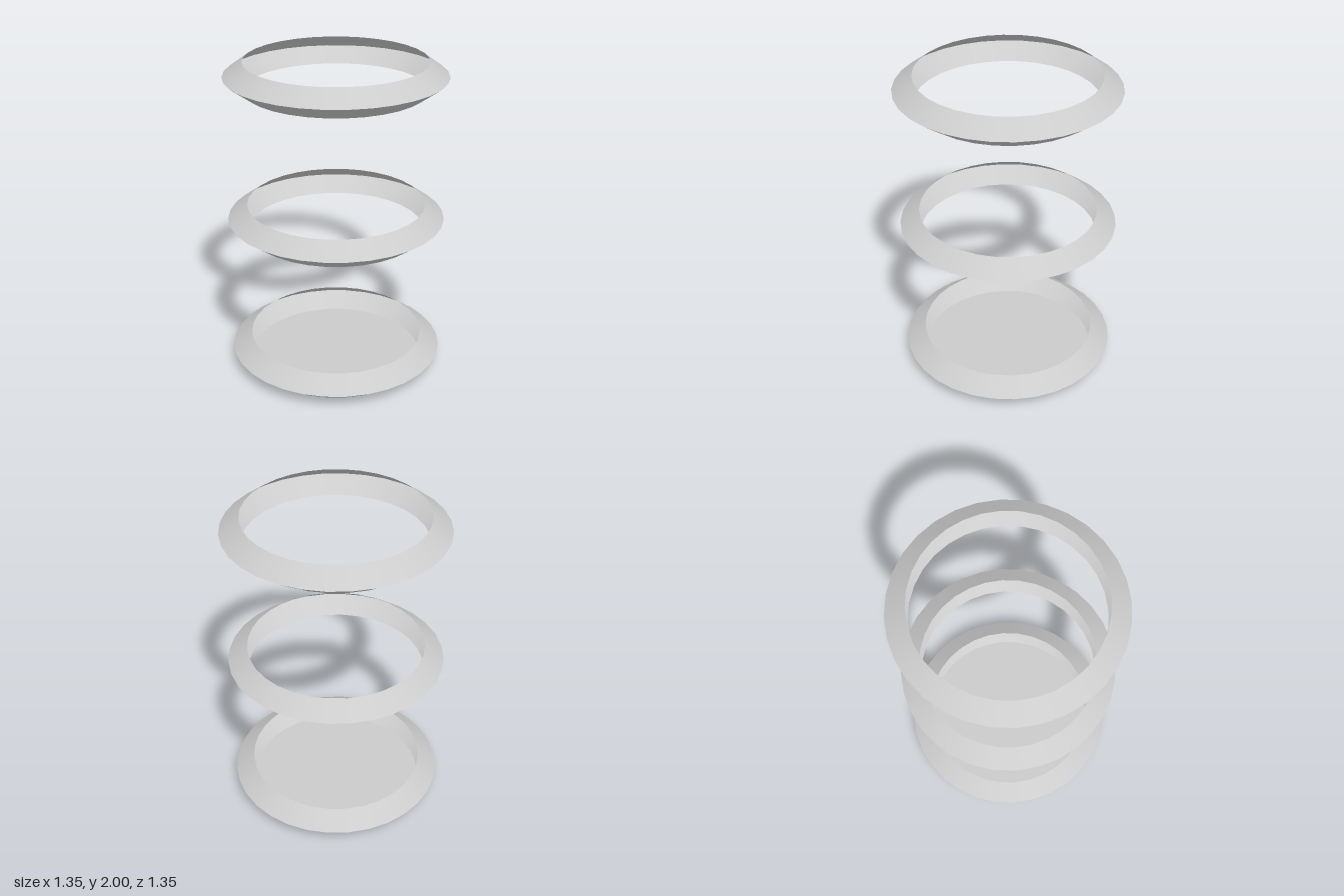
import * as THREE from 'three';

const INNER = 0.556, OUTER = 0.677, HALF = 0.0885, SIDES = 32;

export function createModel() {
  const model = new THREE.Group();
  const material = new THREE.MeshStandardMaterial({ color: 0xcccccc, side: THREE.DoubleSide });

  const add = (parent, name, geometry, y) => {
    const mesh = new THREE.Mesh(geometry, material);
    mesh.name = name;
    mesh.position.y = y;
    parent.add(mesh);
  };

  // Open V-section shells: two thin cone bands meeting at a sharp outer edge
  const upper = new THREE.CylinderGeometry(INNER, OUTER, HALF, SIDES, 1, true);
  const lower = new THREE.CylinderGeometry(OUTER, INNER, HALF, SIDES, 1, true);
  const heights = { bottomRing: HALF, middleRing: 1, topRing: 2 - HALF };
  for (const [name, y] of Object.entries(heights)) {
    const ring = new THREE.Group();
    ring.name = name;
    ring.position.y = y;
    add(ring, 'upperBand', upper, HALF / 2);
    add(ring, 'lowerBand', lower, -HALF / 2);
    model.add(ring);
  }

  // Flat floor closing the underside of the bottom ring
  const floor = new THREE.CircleGeometry(INNER, SIDES).rotateX(-Math.PI / 2);
  add(model, 'floorDisc', floor, 0);

  return model;
}
